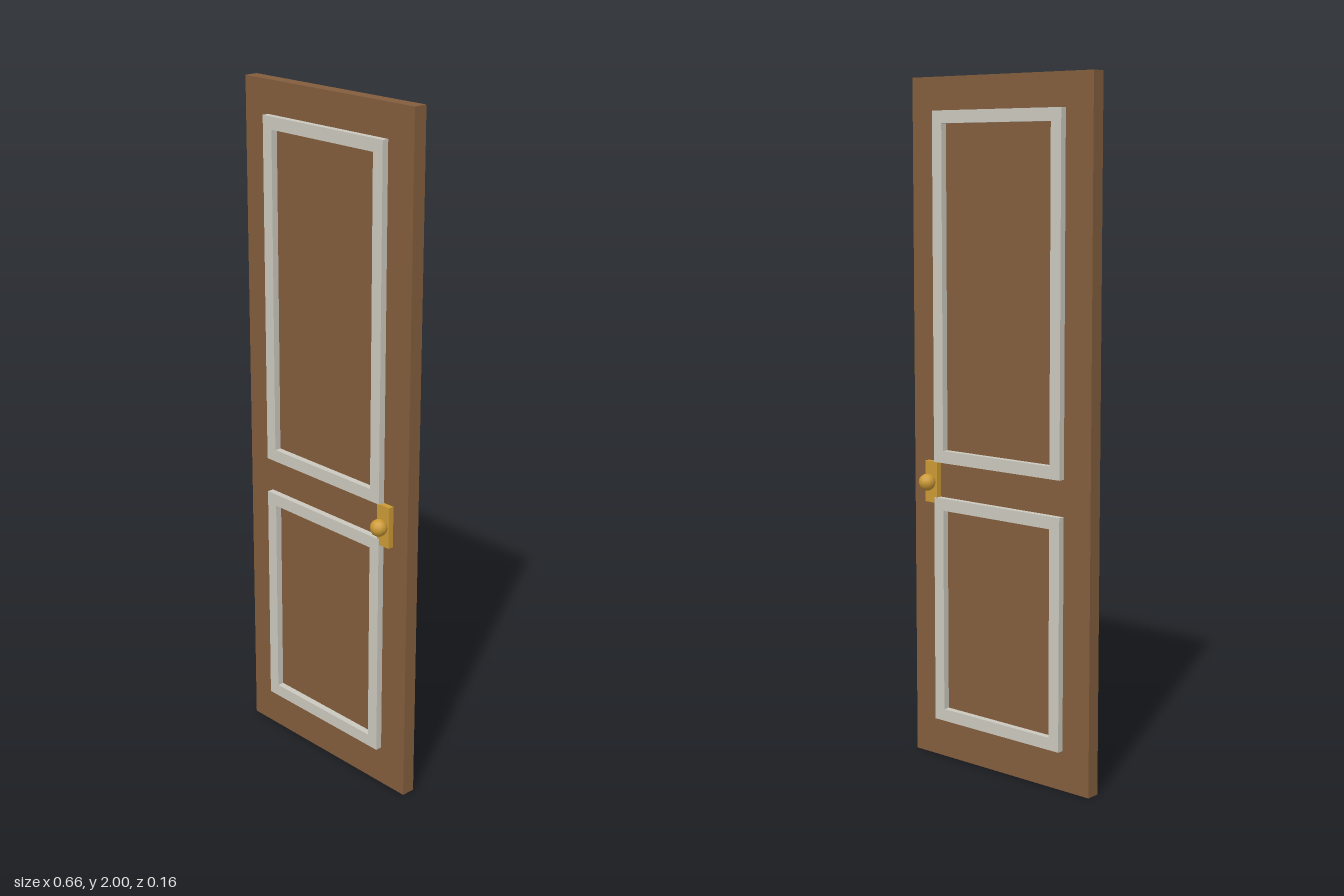
import * as THREE from 'three';

const wood = new THREE.MeshStandardMaterial({ color: 0x835e3d });
wood.name = 'brown wood';
const paint = new THREE.MeshStandardMaterial({ color: 0xcbc9be });
paint.name = 'pale trim paint';
const brass = new THREE.MeshStandardMaterial({ color: 0xcc9a35 });
brass.name = 'brass';

const MID_Z = -0.0015; // centre plane of the door leaf
const HALF = 0.0205; // half the leaf thickness

function add(parent, name, geometry, material, x, y, z) {
  const mesh = new THREE.Mesh(geometry, material);
  mesh.name = name;
  mesh.position.set(x, y, z);
  parent.add(mesh);
  return mesh;
}

// Rectangular moulding with an open middle
function trimFrame(bottom, top) {
  const w = 0.236, rail = 0.036;
  const rect = (Type, x, y0, y1) => {
    const p = new Type();
    p.moveTo(-x, y0);
    p.lineTo(x, y0);
    p.lineTo(x, y1);
    p.lineTo(-x, y1);
    p.closePath();
    return p;
  };
  const shape = rect(THREE.Shape, w, bottom, top);
  shape.holes.push(rect(THREE.Path, w - rail, bottom + rail, top - rail));
  return new THREE.ExtrudeGeometry(shape, { depth: 0.0195, bevelEnabled: false });
}

export function createModel() {
  const door = new THREE.Group();
  door.name = 'door';

  // Door leaf
  add(door, 'leaf', new THREE.BoxGeometry(0.66, 2, HALF * 2), wood, 0, 1, MID_Z);

  const upperTrim = trimFrame(0.895, 1.905);
  const lowerTrim = trimFrame(0.117, 0.79);
  const plate = new THREE.BoxGeometry(0.047, 0.122, 0.017);
  const knob = new THREE.SphereGeometry(0.025, 10, 8);

  // Matching trim and handle on both faces
  for (const side of [1, -1]) {
    const label = side > 0 ? 'front' : 'back';
    const face = new THREE.Group();
    face.name = label + 'Face';
    const trimZ = side > 0 ? MID_Z + HALF : MID_Z - HALF - 0.0195;
    add(face, label + 'UpperTrim', upperTrim, paint, 0, 0, trimZ);
    add(face, label + 'LowerTrim', lowerTrim, paint, 0, 0, trimZ);
    add(face, label + 'HandlePlate', plate, brass, 0.25, 0.834, MID_Z + side * (HALF + 0.0085));
    add(face, label + 'Knob', knob, brass, 0.251, 0.835, MID_Z + side * 0.0545);
    door.add(face);
  }
  return door;
}
